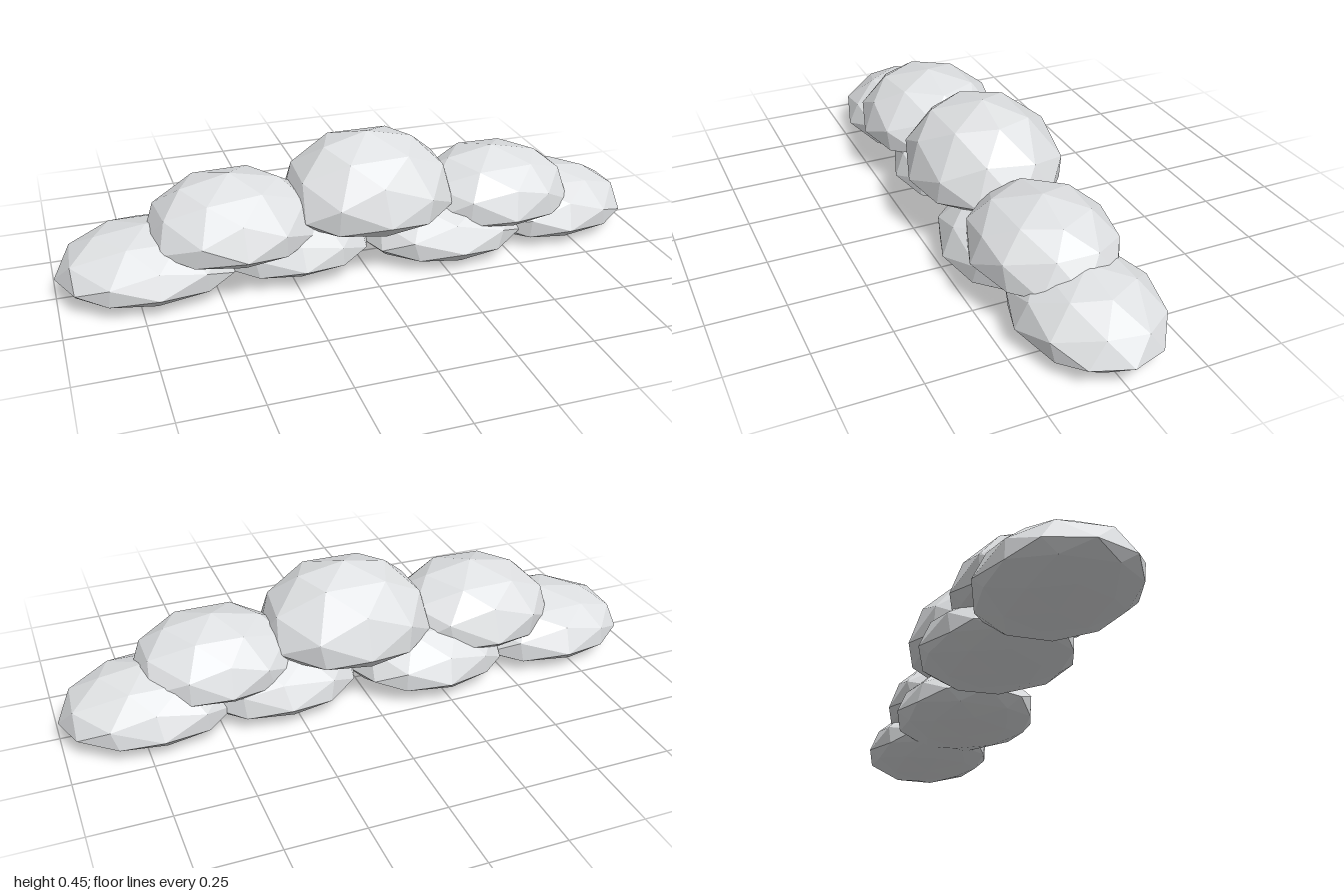
import * as THREE from 'three';
import { mergeVertices } from 'three/addons/utils/BufferGeometryUtils.js';

// name, x range, z range, [bottom, widest level, top]
const PUFFS = [
  ['lowerPuffFarRight', [-1.0, -0.4], [-0.24, 0.245], [0.01, 0.075, 0.225]],
  ['lowerPuffRight', [-0.52, 0.05], [-0.275, 0.225], [0.02, 0.08, 0.24]],
  ['lowerPuffLeft', [0.0, 0.59], [-0.225, 0.262], [0.003, 0.075, 0.23]],
  ['lowerPuffFarLeft', [0.42, 1.0], [-0.24, 0.212], [0.007, 0.07, 0.228]],
  ['upperPuffRight', [-0.72, -0.14], [-0.23, 0.268], [0.11, 0.17, 0.37]],
  ['crownPuff', [-0.265, 0.335], [-0.248, 0.272], [0.135, 0.215, 0.452]],
  ['upperPuffLeft', [0.2, 0.765], [-0.218, 0.25], [0.105, 0.16, 0.345]],
];

// small seeded generator
function seeded(seed) {
  let s = seed;
  return () => (s = (s * 16807) % 2147483647) / 2147483647 - 0.5;
}

// faceted ball with slightly uneven facets and a flattened underside
function puffGeometry([x0, x1], [z0, z1], [bottom, level, top], seed) {
  const ball = new THREE.IcosahedronGeometry(1, 1);
  ball.deleteAttribute('normal');
  ball.deleteAttribute('uv');
  const geometry = mergeVertices(ball, 1e-3);
  const p = geometry.attributes.position;
  const rand = seeded(seed);
  const v = new THREE.Vector3();
  for (let i = 0; i < p.count; i++) {
    v.fromBufferAttribute(p, i);
    const onAxis = Math.max(Math.abs(v.x), Math.abs(v.y), Math.abs(v.z)) > 0.99;
    if (!onAxis) v.add(new THREE.Vector3(rand(), rand(), rand()).multiplyScalar(0.12)).normalize();
    p.setXYZ(i,
      (x0 + x1) / 2 + v.x * (x1 - x0) / 2,
      level + v.y * (v.y > 0 ? top - level : level - bottom),
      (z0 + z1) / 2 + v.z * (z1 - z0) / 2);
  }
  const faceted = geometry.toNonIndexed();
  faceted.computeVertexNormals();
  return faceted;
}

export function createModel() {
  const cloud = new THREE.Group();
  cloud.name = 'cloud';
  const material = new THREE.MeshStandardMaterial({ color: 0xdfe1e3, flatShading: true });
  material.name = 'cloudGrey';
  PUFFS.forEach(([name, xs, zs, ys], i) => {
    const mesh = new THREE.Mesh(puffGeometry(xs, zs, ys, 1234 + i * 7919), material);
    mesh.name = name;
    cloud.add(mesh);
  });
  return cloud;
}
